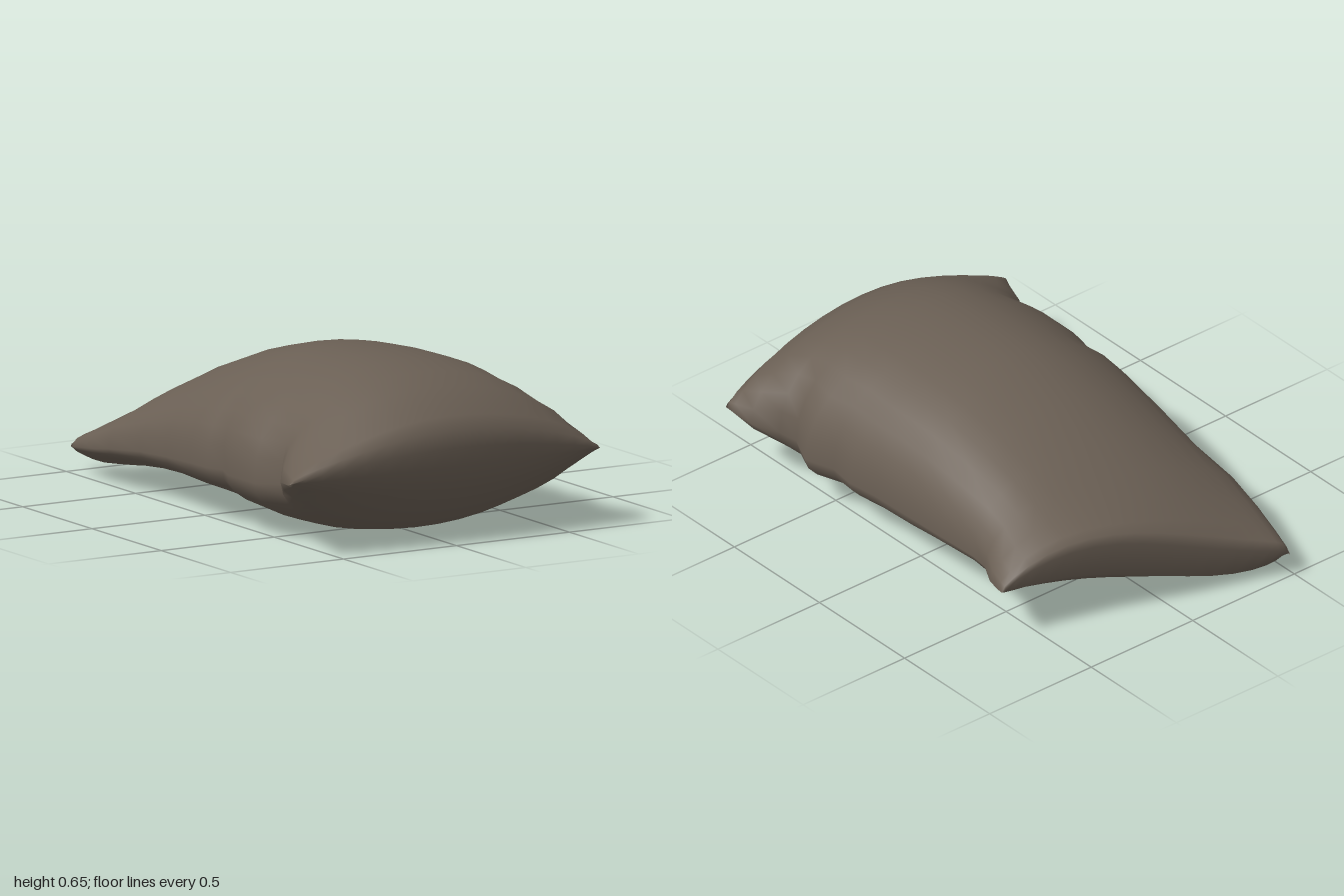
import * as THREE from 'three';
import { mergeVertices } from 'three/addons/utils/BufferGeometryUtils.js';

// Cross-sections from front to back:
// right edge x, z | left edge x, z | centre z, top y, bottom y
const STATIONS = [
  [-0.69, 0.92, 0.69, 0.92, 1.0, 0.375, 0.375],
  [-0.685, 0.91, 0.69, 0.91, 0.985, 0.44, 0.3],
  [-0.675, 0.88, 0.685, 0.88, 0.95, 0.49, 0.2],
  [-0.62, 0.74, 0.665, 0.8, 0.82, 0.58, 0.07],
  [-0.57, 0.66, 0.6, 0.71, 0.7, 0.617, 0.02],
  [-0.525, 0.6, 0.57, 0.65, 0.58, 0.643, 0],
  [-0.585, 0.5, 0.62, 0.54, 0.45, 0.652, 0],
  [-0.585, 0.3, 0.58, 0.42, 0.33, 0.65, 0.015],
  [-0.55, 0.21, 0.595, 0.31, 0.2, 0.645, 0.03],
  [-0.578, 0.14, 0.58, 0.18, 0.1, 0.635, 0.04],
  [-0.57, 0, 0.575, 0, 0, 0.62, 0.045],
  [-0.55, -0.2, 0.57, -0.2, -0.2, 0.57, 0.07],
  [-0.53, -0.42, 0.565, -0.38, -0.4, 0.5, 0.08],
  [-0.545, -0.62, 0.58, -0.47, -0.56, 0.43, 0.085],
  [-0.535, -0.75, 0.63, -0.56, -0.68, 0.378, 0.085],
  [-0.51, -0.88, 0.645, -0.62, -0.78, 0.338, 0.09],
  [-0.49, -0.97, 0.65, -0.65, -0.835, 0.31, 0.12],
  [-0.48, -1.0, 0.65, -0.655, -0.85, 0.265, 0.265],
];
const SEGMENTS = 36;
const HALF_WIDTH = 0.56;

function sackGeometry() {
  const { lerp, smoothstep } = THREE.MathUtils;
  const positions = [], index = [];
  const last = STATIONS.length - 1;

  STATIONS.forEach(([xR, zR, xL, zL, zC, top, bottom], i) => {
    // the side seams run low, and sink further at one back corner
    const sink = smoothstep(i, 9, last);
    const seam = lerp(0.29, 0.215, smoothstep(i, 1, 6));
    const yR = lerp(seam, 0.095, sink);
    const yL = lerp(seam, 0.225, sink);
    // full in the middle, pinched towards the corners at both ends
    const toEnd = Math.min(1, Math.min(i, last - i) / 4);
    const endPower = i < last / 2 ? 0.72 : 0.62;
    const twist = smoothstep(i, 11, last);

    for (let j = 0; j < SEGMENTS; j++) {
      const angle = (j / SEGMENTS) * Math.PI * 2;
      const u = Math.cos(angle);
      const s = (u + 1) / 2;
      const inner = Math.max(0, 1 - u * u);
      const upper = j < SEGMENTS / 2;
      // puckers in the side seam fade out towards the middle
      const edge = u > 0 ? xL - HALF_WIDTH : xR + HALF_WIDTH;
      const x = u * HALF_WIDTH + edge * Math.abs(u) ** 4;
      // the filling leans to one side, most of all at the back
      const lean = (upper ? 0.1 * toEnd * u ** 3 : 0) + 0.13 * twist * u;
      const bulge = (upper ? top : bottom) - (yR + yL) / 2;
      const power = lerp(endPower, upper ? 0.43 : 0.47, toEnd);
      const y = lerp(yR, yL, s) + bulge * inner ** power + lean * inner;
      const z = lerp(zR, zL, s) + (zC - (zR + zL) / 2) * inner ** 0.65;
      positions.push(x, Math.max(0, y), z);
    }
  });

  for (let i = 0; i < last; i++) {
    for (let j = 0; j < SEGMENTS; j++) {
      const k = (j + 1) % SEGMENTS;
      const a = i * SEGMENTS + j, b = i * SEGMENTS + k;
      const c = a + SEGMENTS, d = b + SEGMENTS;
      index.push(a, c, b, b, c, d);
    }
  }

  // the first and last sections are flat, so merging sews the end seams shut
  const geometry = new THREE.BufferGeometry();
  geometry.setAttribute('position', new THREE.Float32BufferAttribute(positions, 3));
  geometry.setIndex(index);
  const sewn = mergeVertices(geometry, 1e-4);
  sewn.computeVertexNormals();
  return sewn;
}

export function createModel() {
  const group = new THREE.Group();
  group.name = 'sandbag';
  const cloth = new THREE.MeshStandardMaterial({ color: 0x6a5f54 });
  cloth.name = 'brown sackcloth';
  const sack = new THREE.Mesh(sackGeometry(), cloth);
  sack.name = 'sack';
  group.add(sack);
  return group;
}
